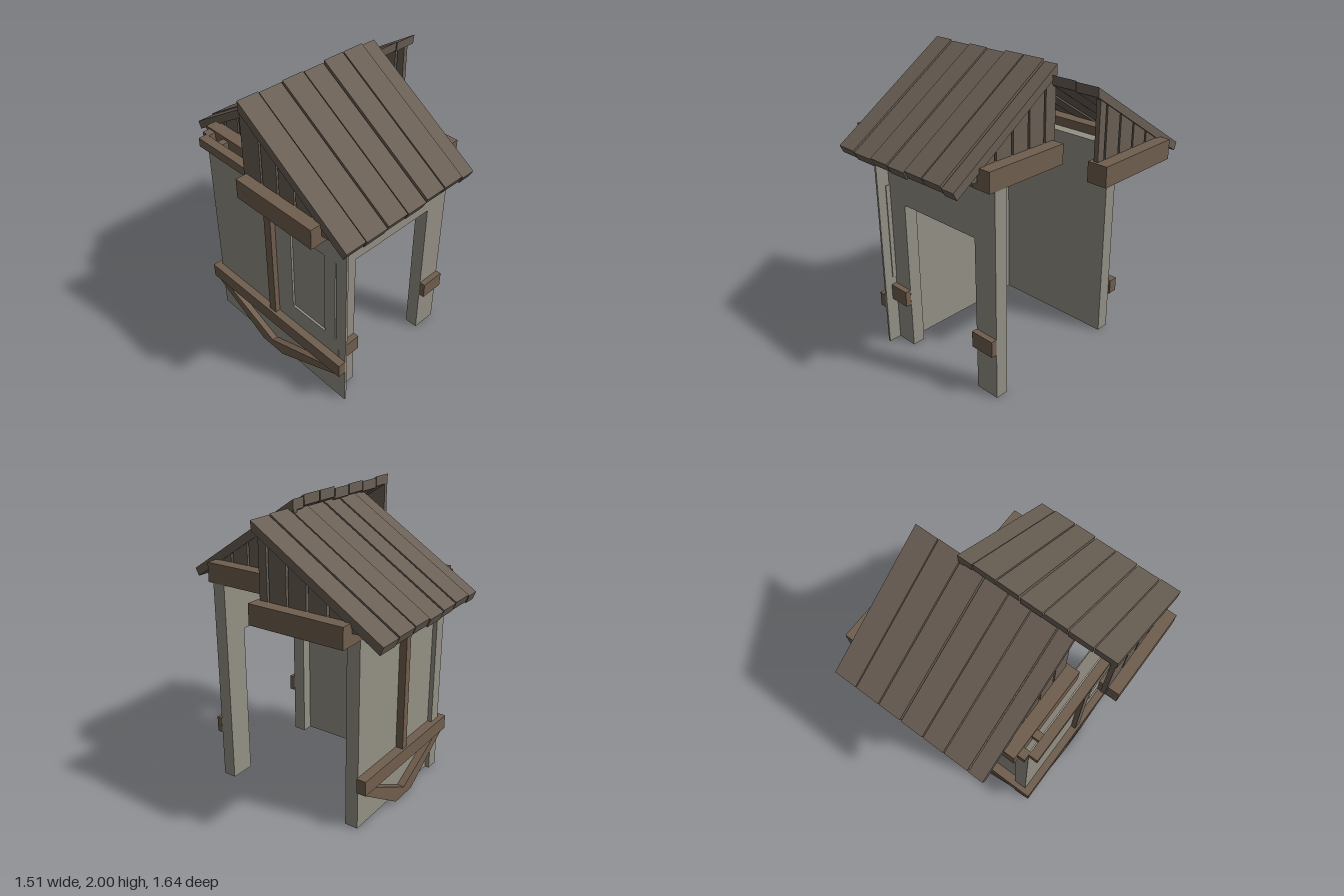
import * as THREE from 'three';

const mat = (color) => new THREE.MeshStandardMaterial({ color, flatShading: true, side: THREE.DoubleSide });

export function createModel() {
  const model = new THREE.Group();
  const wall = mat(0x949085), wood = mat(0x705e4e), roof = mat(0x6a5f55);

  const add = (name, geo, material, parent = model) => {
    const m = new THREE.Mesh(geo, material);
    m.name = name;
    parent.add(m);
    return m;
  };
  // Box given by its limits on each axis
  const box = (name, x0, x1, y0, y1, z0, z1, material = wood, parent = model) => {
    const g = new THREE.BoxGeometry(x1 - x0, y1 - y0, z1 - z0);
    g.translate((x0 + x1) / 2, (y0 + y1) / 2, (z0 + z1) / 2);
    return add(name, g, material, parent);
  };
  const outline = (pts) => new THREE.Shape(pts.map(([a, b]) => new THREE.Vector2(a, b)));
  const extrude = (shape, depth) => new THREE.ExtrudeGeometry(shape, { depth, bevelEnabled: false });
  // (x, y) outline pushed along z
  const prismZ = (name, shape, z0, z1, material, parent) =>
    add(name, extrude(shape, z1 - z0).translate(0, 0, z0), material, parent);
  // (z, y) outline pushed along x
  const prismX = (name, shape, x0, x1, material, parent) =>
    add(name, extrude(shape, x1 - x0).rotateY(-Math.PI / 2).translate(x1, 0, 0), material, parent);

  // Front wall with doorway
  prismZ('frontWall', outline([[-0.54, 0], [-0.375, 0], [-0.375, 1.06], [0.265, 1.06],
    [0.265, 0], [0.435, 0], [0.435, 1.4], [-0.54, 1.4]]), 0.5, 0.59, wall);
  // Back wall
  box('backWall', -0.45, 0.435, 0, 1.4, -0.52, -0.43, wall);

  // Left wall: hollow, outer skin with a recessed window panel
  const skin = outline([[-0.55, 0], [0.68, 0], [0.68, 1.4], [-0.55, 1.4]]);
  skin.holes.push(new THREE.Path([[0.21, 0.51], [0.21, 1.14], [0.6, 1.14], [0.6, 0.51]]
    .map(([a, b]) => new THREE.Vector2(a, b))));
  prismX('leftWallOuter', skin, -0.54, -0.525, wall);
  box('windowPanel', -0.524, -0.518, 0.49, 1.16, 0.19, 0.62, wall);
  box('leftWallInner', -0.456, -0.45, 0, 1.4, -0.55, 0.5, wall);
  box('leftWallEnd', -0.54, -0.45, 0, 1.4, -0.55, -0.544, wall);

  // Blocks either side of the doorway
  box('doorBlock', -0.54, -0.375, 0.325, 0.435, 0.591, 0.63);
  box('doorBlock', 0.265, 0.435, 0.325, 0.435, 0.591, 0.63);

  // Rail with a V of braces below it, in wall coordinates
  const bracing = (a0, a1, mid) => {
    const rail = outline([[a0, 0.27], [a1, 0.27], [a1, 0.37], [a0, 0.37]]);
    const brace = (end, s) => outline([[end, 0.27], [end + s * 0.11, 0.27], [mid, 0.06],
      [mid, 0], [mid - s * 0.1, 0]]);
    return [rail, brace(a0, 1), brace(a1, -1)];
  };
  bracing(-0.59, 0.45, -0.055).forEach((s, i) =>
    prismZ(i ? 'backBrace' : 'backRail', s, i ? -0.57 : -0.585, -0.52, wood));
  bracing(-0.58, 0.68, 0.02).forEach((s, i) =>
    prismX(i ? 'leftBrace' : 'leftRail', s, i ? -0.58 : -0.592, -0.54, wood));

  // Upright battens
  box('backPost', -0.065, -0.015, 0.37, 1.36, -0.57, -0.52);
  box('leftPost', -0.575, -0.54, 0.37, 1.41, 0.01, 0.07);

  // Top frame of the left wall
  box('leftPlate', -0.6, -0.54, 1.4, 1.46, -0.55, 0.55);
  box('plateTie', -0.54, -0.45, 1.4, 1.45, -0.45, -0.4);
  box('plateTie', -0.54, -0.42, 1.4, 1.46, -0.59, -0.53);

  // Eave and gable beams
  for (const [x0, x1] of [[-0.755, -0.62], [0.3, 0.435]]) box('frontGableBeam', x0, x1, 1.4, 1.53, 0.02, 0.63);
  box('frontEaveBeam', -0.7, 0.4, 1.4, 1.51, 0.5, 0.625);
  for (const [x0, x1] of [[-0.49, -0.36], [0.62, 0.755]]) box('backGableBeam', x0, x1, 1.34, 1.47, -0.62, 0.02);
  box('backEaveBeam', -0.45, 0.7, 1.342, 1.46, -0.62, -0.51);

  // Roof slats, each shifted slightly
  const slats = (name, edges, profile, lifts) => {
    const g = new THREE.Group();
    g.name = name;
    for (let i = 0; i < edges.length - 1; i++) {
      const slat = prismX('slat', outline(profile), edges[i] + 0.004, edges[i + 1] - 0.004, roof, g);
      slat.position.y = lifts[i];
    }
    model.add(g);
  };
  slats('frontRoof', [-0.69, -0.54, -0.375, -0.215, -0.06, 0.095, 0.255, 0.36],
    [[0, 1.99], [0, 1.925], [0.795, 1.395], [0.82, 1.445]], [0, -0.008, 0, -0.005, 0.008, 0.008, -0.004]);
  slats('backRoof', [-0.42, -0.31, -0.135, 0.02, 0.185, 0.35, 0.525, 0.69],
    [[0.04, 1.925], [-0.82, 1.385], [-0.8, 1.335], [0.035, 1.865]], [-0.004, 0.005, 0, -0.006, 0.005, 0.003, -0.003]);

  // Boarded gables; the far ends are staggered so the gaps do not line up
  const gable = (name, x, dir, base, ridge, slope, start) => {
    const g = new THREE.Group();
    g.name = name;
    const reach = Math.min(0.68, (ridge - base) / slope - 0.005);
    const top = (d) => ridge - slope * d;
    for (let d = 0, next = start; d < reach; d = next, next += 0.135) {
      const e = Math.min(next - 0.015, reach);
      if (e > d) prismX('gableBoard', outline([[dir * d, base], [dir * e, base],
        [dir * e, top(e)], [dir * d, top(d)]]), x, x + 0.03, roof, g);
    }
    model.add(g);
  };
  gable('frontGableRight', 0.32, 1, 1.45, 1.925, 0.667, 0.1);
  gable('frontGableLeft', -0.68, 1, 1.45, 1.925, 0.667, 0.165);
  gable('backGableRight', 0.645, -1, 1.41, 1.842, 0.635, 0.07);
  gable('backGableLeft', -0.405, -1, 1.41, 1.842, 0.635, 0.135);

  return model;
}
